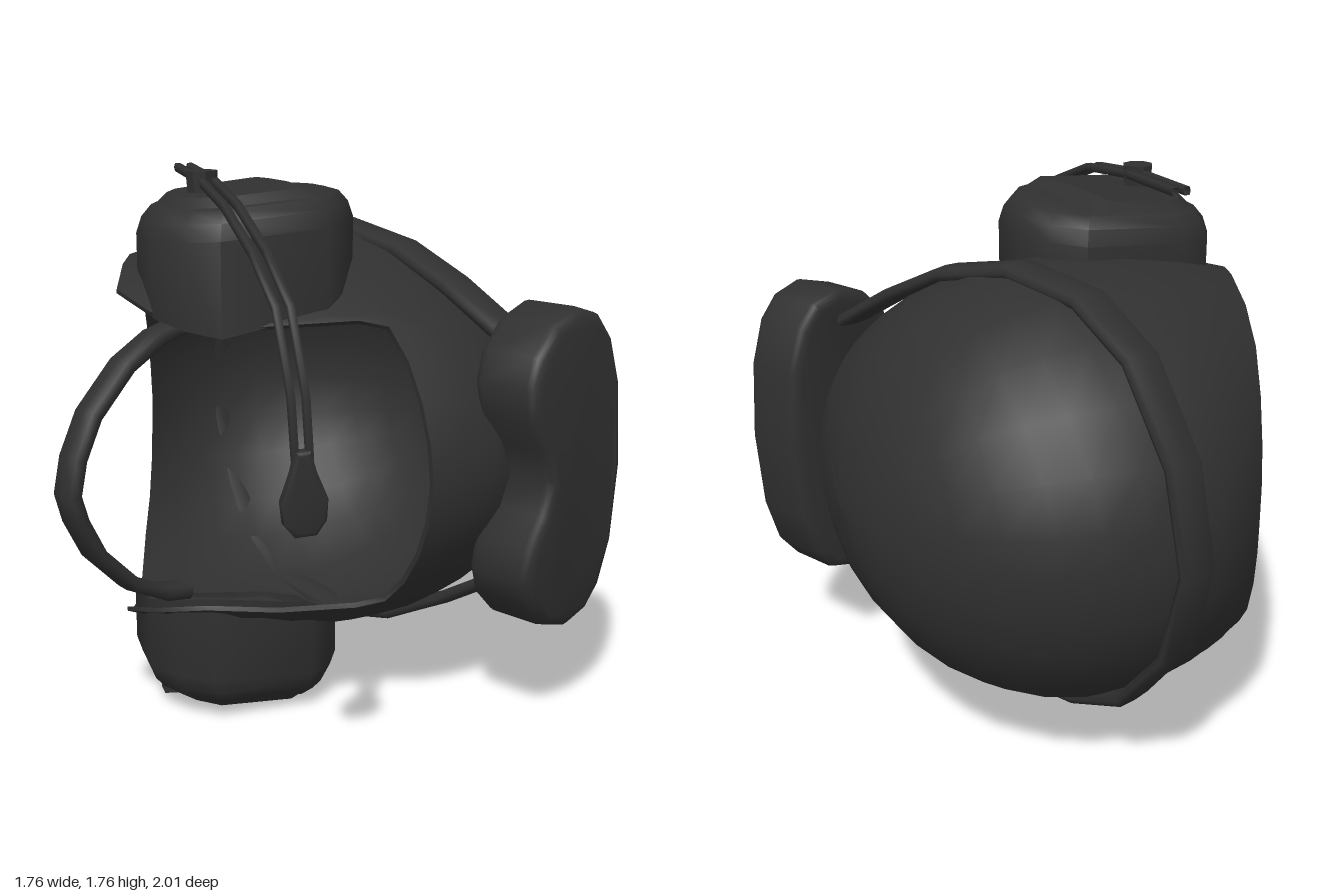
import * as THREE from 'three';
import { mergeGeometries, toCreasedNormals } from 'three/addons/utils/BufferGeometryUtils.js';

const charcoal = new THREE.MeshStandardMaterial({ color: 0x303030, side: THREE.DoubleSide });
charcoal.name = 'charcoal';
const V = (x, y, z) => new THREE.Vector3(x, y, z);
const MID = 0.865; // height of the symmetry plane

function mesh(name, geometry) {
  const m = new THREE.Mesh(geometry, charcoal);
  m.name = name;
  return m;
}

// Skin over rows of points; every row is a closed ring
function skin(rows) {
  const n = rows[0].length, index = [];
  for (let r = 0; r < rows.length - 1; r++) {
    for (let c = 0; c < n; c++) {
      const a = r * n + c, b = r * n + (c + 1) % n;
      index.push(a, b, a + n, b, b + n, a + n);
    }
  }
  const g = new THREE.BufferGeometry().setFromPoints(rows.flat());
  g.setIndex(index);
  g.computeVertexNormals();
  return g;
}

// Band with a rounded flat section swept along a path, its width along the vector w
function band(path, w, halfWidth, halfThick, sides = 8) {
  const soft = (v) => Math.sign(v) * Math.sqrt(Math.abs(v));
  const rows = path.map((p, i) => {
    const t = path[Math.min(i + 1, path.length - 1)].clone().sub(path[Math.max(i - 1, 0)]).normalize();
    const side = w.clone().addScaledVector(t, -w.dot(t)).normalize();
    const n = t.clone().cross(side);
    return Array.from({ length: sides }, (_, k) => {
      const a = (k / sides) * Math.PI * 2;
      return p.clone().addScaledVector(side, soft(Math.cos(a)) * halfWidth).addScaledVector(n, soft(Math.sin(a)) * halfThick);
    });
  });
  return skin(rows);
}

// Completes half a path by reflecting it over the symmetry plane
function mirrored(half) {
  return [...half, ...half.slice(0, -1).reverse().map((p) => V(p.x, 2 * MID - p.y, p.z))];
}

function bevelled(points, depth, bevel) {
  const g = new THREE.ExtrudeGeometry(new THREE.Shape(points.map(([x, y]) => new THREE.Vector2(x, y))), {
    depth: depth - 2 * bevel, bevelEnabled: true, bevelSize: bevel, bevelThickness: bevel,
    bevelOffset: -bevel, bevelSegments: 3,
  });
  g.translate(0, 0, bevel);
  return g;
}

// Shell: [angle from the front, x of the open edge]
const EDGE = [[0, 0.2], [10, 0.195], [20, 0.185], [30, 0.17], [39, 0.14], [41, 0.05], [41.5, -0.2], [43, -0.42],
  [53, -0.55], [66, -0.62], [80, -0.575], [95, -0.53], [110, -0.49], [125, -0.45], [140, -0.41], [155, -0.385], [168, -0.375], [180, -0.37]];

function shellGeometry() {
  const columns = [...EDGE, ...EDGE.slice(1, -1).reverse().map(([a, x]) => [360 - a, x])];
  const CX = 0.05, CZ = -0.18;
  const point = ([deg, edge], t, inset) => {
    const psi = THREE.MathUtils.degToRad(deg), back = Math.max(0, -Math.cos(psi)), front = Math.max(0, Math.cos(psi));
    const below = THREE.MathUtils.lerp(1.2, 0.63, back);
    const end = Math.acos((edge - CX) / (edge > CX ? 0.71 : below));
    const c = Math.cos(end * t), e = c > 0 ? 2 + 0.7 * front : 2;
    const ring = Math.pow(Math.max(0, 1 - Math.pow(Math.abs(c), e)), 1 / e) * inset;
    return V(
      CX + c * (c > 0 ? 0.71 * inset : below),
      MID + 0.705 * ring * Math.sin(psi),
      CZ + ring * (0.83 * Math.pow(front, 1.35) - 0.78 * back));
  };
  const row = (t, inset) => columns.map((c) => point(c, t, inset));
  const steps = Array.from({ length: 13 }, (_, i) => i / 12);
  return mergeGeometries([
    skin(steps.map((t) => row(t, 1))),
    skin([row(1, 1), row(1, 0.975)]),
    skin(steps.slice().reverse().map((t) => row(t, 0.975))),
  ]);
}

// Goggles: outline across the width and along the height
function goggles() {
  const half = [[-0.14, 0], [-0.17, 0.1], [-0.225, 0.2], [-0.235, 0.3], [-0.2, 0.39], [-0.11, 0.475],
    [0.02, 0.515], [0.12, 0.485], [0.18, 0.41], [0.22, 0.26], [0.235, 0]];
  const outline = [...half.slice(0, -1).map(([x, y]) => [x, -y]), ...half.slice(1).reverse()];
  const g = bevelled(outline, 0.235, 0.035);
  const p = g.attributes.position;
  for (let i = 0; i < p.count; i++) p.setZ(i, p.getZ(i) - 0.12 * p.getY(i) ** 2);
  const m = mesh('goggles', toCreasedNormals(g, 0.7));
  m.position.set(0.578, 0.855, 0.425);
  m.rotation.y = Math.atan2(0.47, 0.88);
  return m;
}

// Ear cup pointing up: rings of one outline [x, z], the lowest following the shell
const CUP = [[-0.33, 0.13], [-0.26, 0.23], [-0.16, 0.3], [0.18, 0.27], [0.24, 0.22], [0.32, 0.08], [0.32, -0.09],
  [0.27, -0.22], [0.17, -0.29], [-0.18, -0.27], [-0.27, -0.23], [-0.33, -0.12]];

function earCup(name) {
  const cup = new THREE.Group();
  cup.name = name;
  const ring = (scale, y) => CUP.map(([x, z]) => V(x * scale, y + 0.08 * x * scale, z * scale));
  const foot = CUP.map(([x, z]) => V(x,
    0.12 - 0.13 * (Math.min(x, 0) / 0.33) ** 2 - 0.2 * (Math.max(z + 0.07, 0) / 0.37) ** 2, z));
  const body = [foot, ring(1, 0.19), ring(0.95, 0.24), ring(0.86, 0.275), ring(0.72, 0.288), ring(0, 0.288)];

  // Raised cover, cut off along a slanting step
  const cut = (row, at) => row.map((p) => V(Math.min(p.x, at + 0.17 * p.z), p.y, p.z));
  const cover = [cut(ring(0.84, 0.27), 0.17), cut(ring(0.72, 0.308), 0.1), ring(0, 0.308)];
  cup.add(mesh('cupBody', toCreasedNormals(skin(body), 0.7)), mesh('cupCover', toCreasedNormals(skin(cover), 0.5)));
  return cup;
}

function microphone() {
  const boom = new THREE.Group();
  boom.name = 'microphone';
  const path = [V(-0.345, 1.75, -0.23), V(-0.35, 1.735, 0.12), V(-0.36, 1.69, 0.46), V(-0.35, 1.59, 0.73),
    V(-0.335, 1.47, 0.9), V(-0.32, 1.25, 0.985), V(-0.305, 1.08, 0.97)];
  for (const s of [-1, 1]) {
    const wire = path.map((p) => V(p.x + s * 0.02, p.y, p.z));
    boom.add(mesh('boomWire', band(wire, V(1, 0, 0), 0.012, 0.014, 6)));
  }
  const hub = mesh('boomHub', toCreasedNormals(new THREE.CylinderGeometry(0.05, 0.045, 0.065, 8), 0.5));
  hub.position.set(-0.365, 1.732, 0.12);
  const head = bevelled([[-0.02, 0.14], [-0.035, 0.08], [-0.065, 0], [-0.06, -0.06], [-0.03, -0.1], [0.03, -0.1],
    [0.06, -0.06], [0.065, 0], [0.035, 0.08], [0.02, 0.14]], 0.04, 0.01);
  const capsule = mesh('microphoneHead', toCreasedNormals(head, 0.7));
  capsule.position.set(-0.3, 0.97, 0.945);
  capsule.rotation.set(0.08, 0, 0.05);
  boom.add(hub, capsule);
  return boom;
}

export function createModel() {
  const model = new THREE.Group();
  model.name = 'pilotHelmet';
  model.add(mesh('shell', shellGeometry()), goggles(), microphone());

  // Goggle strap around the back of the shell
  const strap = mirrored([V(0.54, 1.26, 0.42), V(0.43, 1.395, 0.22), V(0.32, 1.495, 0.05), V(0.18, 1.555, -0.2),
    V(0.07, 1.525, -0.47), V(0.01, 1.41, -0.7), V(-0.03, 1.16, -0.9), V(-0.05, MID, -0.97)]);
  model.add(mesh('goggleStrap', band(strap, V(0.92, 0, -0.4), 0.068, 0.022)));

  // Chin strap
  const chin = mirrored([V(-0.46, 1.295, 0.15), V(-0.54, 1.275, 0.2), V(-0.65, 1.21, 0.265), V(-0.765, 1.08, 0.325),
    V(-0.82, 0.96, 0.36), V(-0.842, MID - 0.01, 0.375)]);
  model.add(mesh('chinStrap', band(chin, V(0.45, 0, 0.86), 0.05, 0.024)));

  // Ear cups on both sides
  const upper = earCup('leftEarCup');
  upper.position.set(-0.21, 1.4, 0.07);
  const lower = earCup('rightEarCup');
  lower.position.set(-0.235, 0.335, -0.01);
  lower.scale.y = -1;
  const stub = mesh('cupStub', new THREE.BoxGeometry(0.19, 0.045, 0.06));
  stub.position.set(-0.405, 0.032, -0.01);
  stub.rotation.z = -0.08;
  model.add(upper, lower, stub);
  return model;
}
